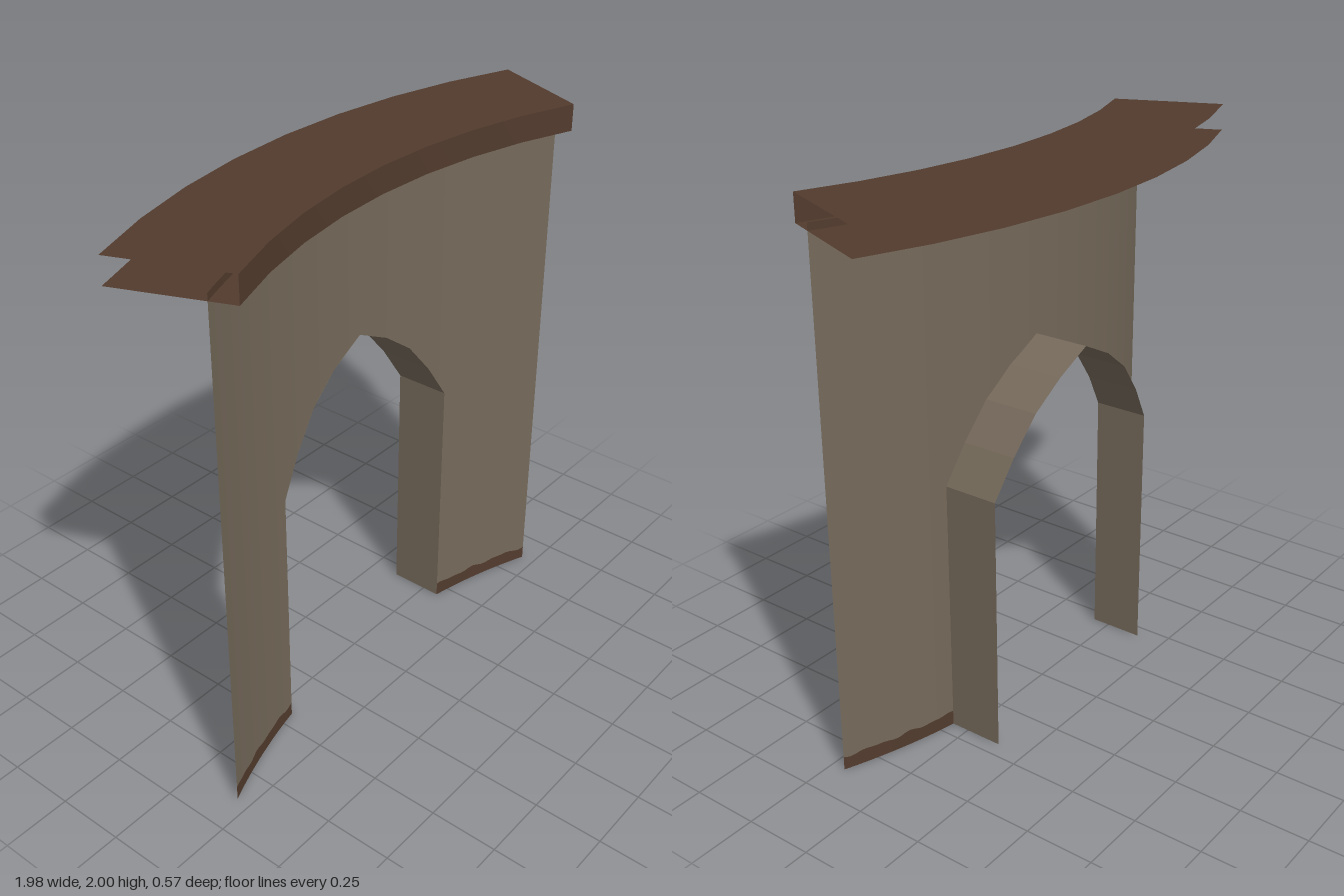
import * as THREE from 'three';

const CENTRE_Z = 2.296;          // axis of the curved wall, in front of it
const HALF = Math.PI / 8;        // half the swept angle
const R_WALL = 2.273, R_IN = 2.18, R_OUT = 2.587;
const WALL_TOP = 1.93, TRIM_LOW = 1.905, TRIM_TOP = 2;
const REVEAL = 0.206, JAMB_X = 0.443;

// Half of the pointed arch, springing to apex
const ARCH = [[JAMB_X, 0.95], [0.36, 1.085], [0.26, 1.21], [0.14, 1.3], [0, 1.37]];

const onArc = (r, angle, y) => [r * Math.sin(angle), y, CENTRE_Z - r * Math.cos(angle)];
const onWall = (x, y) => onArc(R_WALL, Math.asin(x / R_WALL), y);

// Sheet between two rails of points; smooth unless faceted
function sheet(railA, railB, faceted = false) {
  const pos = [], index = [];
  railA.forEach((a, i) => {
    pos.push(...a, ...railB[i]);
    if (i > 0) {
      const k = 2 * i;
      index.push(k - 2, k, k - 1, k, k + 1, k - 1);
    }
  });
  let geo = new THREE.BufferGeometry();
  geo.setAttribute('position', new THREE.Float32BufferAttribute(pos, 3));
  geo.setIndex(index);
  if (faceted) geo = geo.toNonIndexed();
  geo.computeVertexNormals();
  return geo;
}

function archHeight(x) {
  const ax = Math.abs(x);
  for (let i = 1; i < ARCH.length; i++) {
    const [x0, y0] = ARCH[i - 1], [x1, y1] = ARCH[i];
    if (ax >= x1) return y0 + (y1 - y0) * (x0 - ax) / (x0 - x1);
  }
  return ARCH[ARCH.length - 1][1];
}

// Ragged upper edge of the base stain
const baseEdge = x => 0.052 + 0.004 * Math.sin(x * 43) + 0.003 * Math.sin(x * 71 + 1);

// Ragged lower edge of the top stain, with three drips
const DRIPS = [[-0.5, -0.35, 0.026], [-0.28, 0.035, 0.026], [0.31, 0.38, 0.018]];
function topEdge(x) {
  let y = TRIM_LOW;
  for (const [x0, x1, depth] of DRIPS) {
    if (x > x0 && x < x1) y -= depth * Math.min(1, (x - x0) / 0.04, (x1 - x) / 0.04);
  }
  return y;
}

// Evenly spaced columns plus the arch corners
function columns(x0, x1, step = 0.02) {
  const n = Math.round((x1 - x0) / step);
  const xs = Array.from({ length: n + 1 }, (_, i) => x0 + (x1 - x0) * i / n);
  for (const [ax] of ARCH) {
    for (const x of [ax, -ax]) {
      if (x > x0 && x < x1 && !xs.some(v => Math.abs(v - x) < 1e-6)) xs.push(x);
    }
  }
  return xs.sort((a, b) => a - b);
}

export function createModel() {
  const model = new THREE.Group();
  model.name = 'curvedArchWall';
  const stone = new THREE.MeshStandardMaterial({ color: 0x75695a, side: THREE.DoubleSide });
  stone.name = 'stone';
  const brown = new THREE.MeshStandardMaterial({ color: 0x523b2d, side: THREE.DoubleSide });
  brown.name = 'darkBrown';

  const add = (name, geo, mat) => {
    const mesh = new THREE.Mesh(geo, mat);
    mesh.name = name;
    model.add(mesh);
  };
  const wallStrip = (name, xs, low, high, mat) =>
    add(name, sheet(xs.map(x => onWall(x, low(x))), xs.map(x => onWall(x, high(x)))), mat);

  // Piers with stained feet, and the panel over the arch
  const end = R_WALL * Math.sin(HALF);
  for (const [side, x0, x1] of [['right', -end, -JAMB_X], ['left', JAMB_X, end]]) {
    const xs = columns(x0, x1);
    wallStrip(side + 'PierBase', xs, () => 0, baseEdge, brown);
    wallStrip(side + 'Pier', xs, baseEdge, topEdge, stone);
  }
  wallStrip('archPanel', columns(-JAMB_X, JAMB_X), archHeight, topEdge, stone);
  wallStrip('topStain', columns(-end, end), topEdge, () => WALL_TOP, brown);

  // Jambs and underside of the arch, running straight back
  const path = [[JAMB_X, 0], ...ARCH];
  const opening = [...path.map(([x, y]) => [-x, y]), ...path.slice(0, -1).reverse()];
  const front = opening.map(([x, y]) => onWall(x, y));
  const back = front.map(([x, y, z]) => [x, y, z - REVEAL]);
  add('archReveal', sheet(front, back, true), stone);

  // Cornice: front band, top and underside, open at the back and ends
  const ring = (r, y) => Array.from({ length: 9 }, (_, i) => onArc(r, HALF * (i / 4 - 1), y));
  add('corniceFront', sheet(ring(R_IN, TRIM_LOW), ring(R_IN, TRIM_TOP)), brown);
  add('corniceTop', sheet(ring(R_IN, TRIM_TOP), ring(R_OUT, TRIM_TOP)), brown);
  add('corniceUnderside', sheet(ring(R_OUT, TRIM_LOW), ring(R_IN, TRIM_LOW)), brown);

  return model;
}
